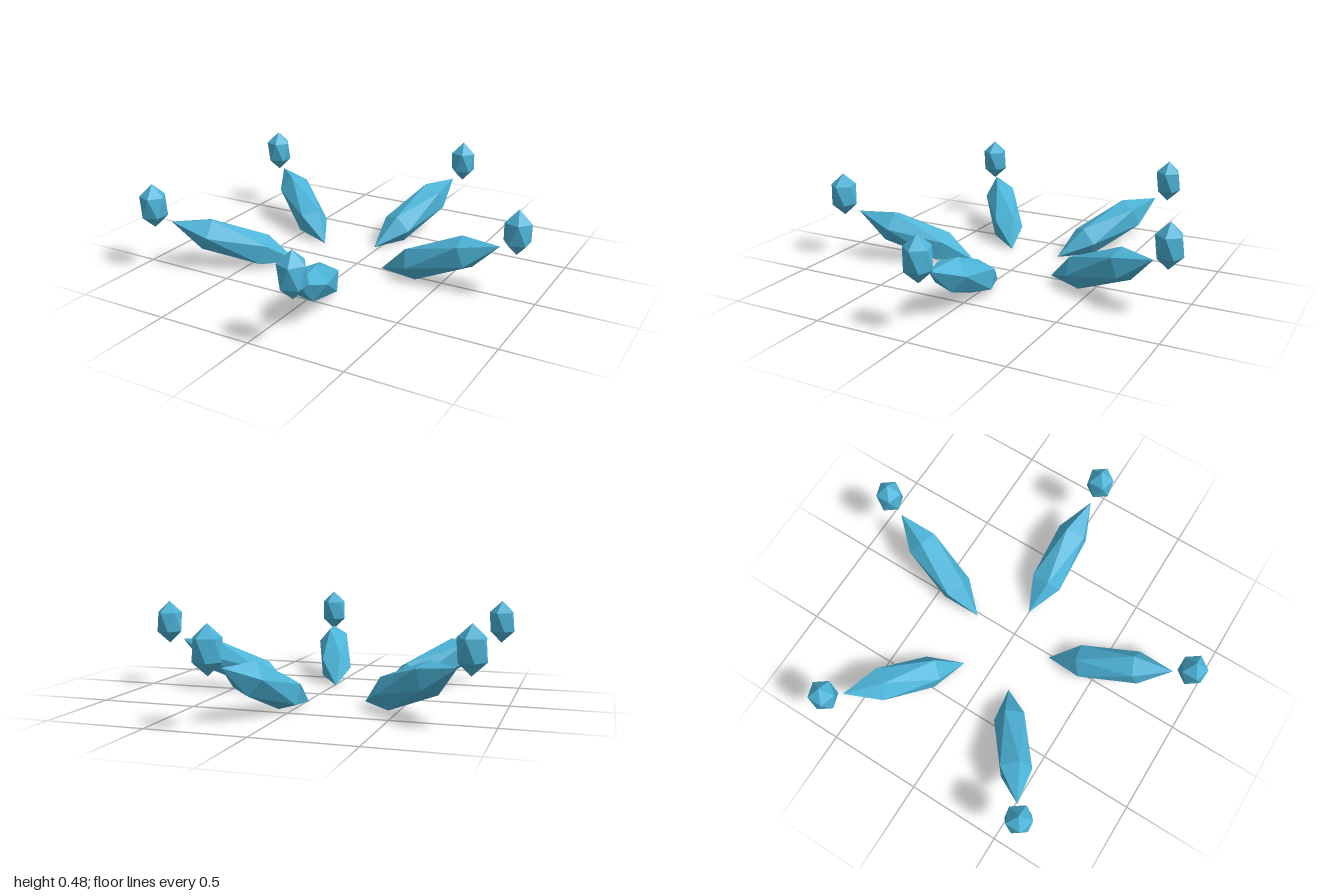
import * as THREE from 'three';

// Low-poly gem: a 20-sided solid standing on one corner, stretched along y
function gem(radius, halfLength) {
  const g = new THREE.IcosahedronGeometry(1, 0);
  g.rotateZ(Math.PI / 2 - Math.atan((1 + Math.sqrt(5)) / 2));
  g.rotateY(Math.PI);
  g.scale(radius, halfLength, radius);
  return g;
}

export function createModel() {
  const model = new THREE.Group();
  model.name = 'crystalFlower';

  const blue = new THREE.MeshStandardMaterial({ color: 0x4cb4d8 });
  blue.name = 'crystalBlue';
  blue.flatShading = true;

  // Long shard leaning outward and slightly up
  const petalGeometry = gem(0.1, 0.351);
  petalGeometry.rotateY(Math.PI / 2);
  petalGeometry.rotateZ(-Math.atan2(0.326, 0.13));
  petalGeometry.translate(0.571, 0.138, 0);

  // Small upright bead beyond the tip of the shard
  const beadGeometry = gem(0.078, 0.118);
  beadGeometry.translate(0.982, 0.36, 0);

  // Five identical arms around the centre of the ring
  const ring = new THREE.Group();
  ring.name = 'petalRing';
  ring.position.x = -0.094;
  for (let i = 0; i < 5; i++) {
    const arm = new THREE.Group();
    arm.name = `arm${i + 1}`;
    arm.rotation.y = (i * 2 * Math.PI) / 5;
    const petal = new THREE.Mesh(petalGeometry, blue);
    petal.name = 'petal';
    const bead = new THREE.Mesh(beadGeometry, blue);
    bead.name = 'bead';
    arm.add(petal, bead);
    ring.add(arm);
  }
  model.add(ring);
  return model;
}
